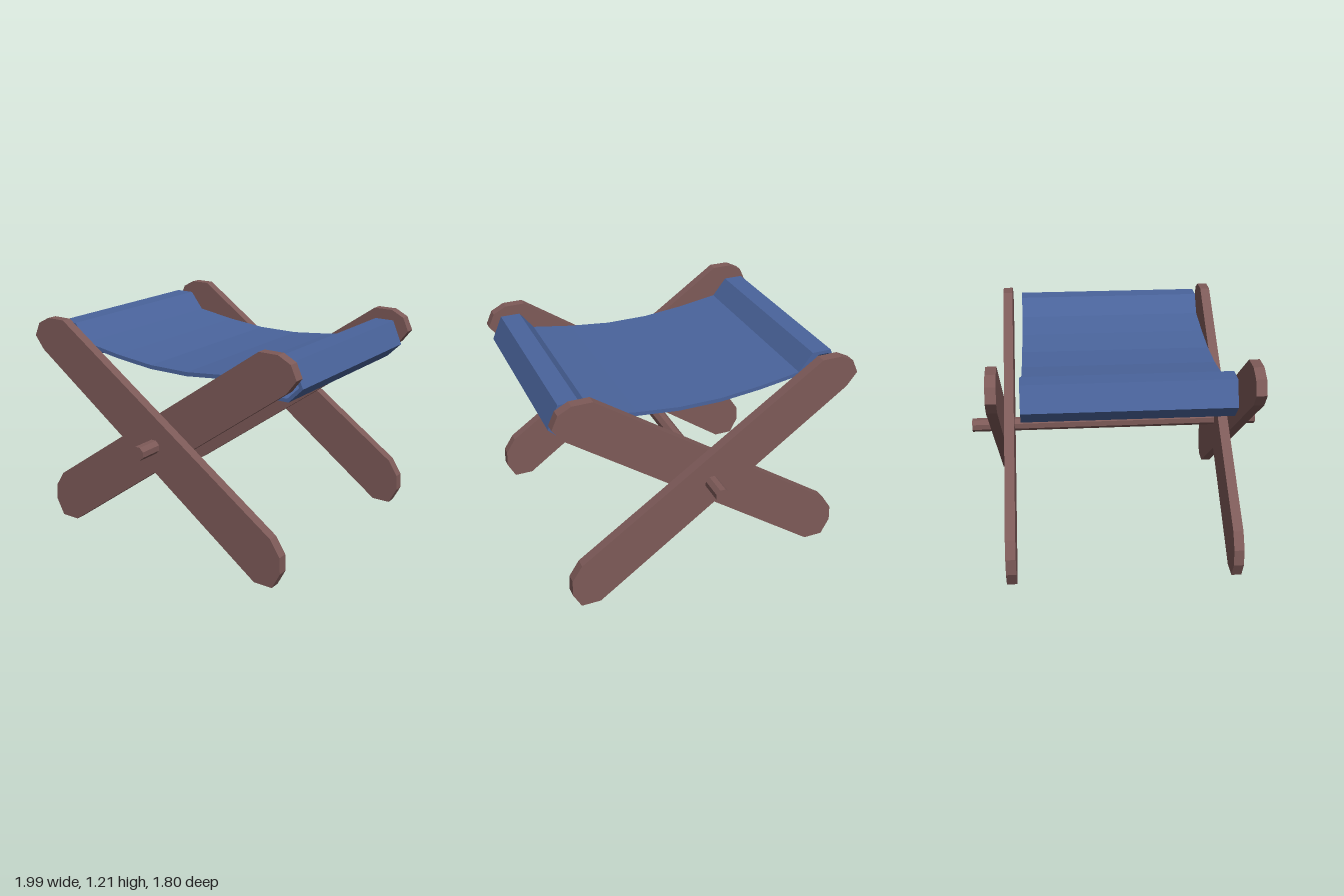
import * as THREE from 'three';

const wood = new THREE.MeshStandardMaterial({ color: 0x7d5a58, flatShading: true });
const cloth = new THREE.MeshStandardMaterial({ color: 0x4a649c, flatShading: true, side: THREE.DoubleSide });

const toVectors = (points, side = 1) => points.map(([x, y]) => new THREE.Vector2(side * x, y));

// Extrude a profile from z0 to z1
function slab(name, shape, z0, z1, material) {
  const geometry = new THREE.ExtrudeGeometry(shape, { depth: z1 - z0, bevelEnabled: false });
  geometry.translate(0, 0, z0);
  const mesh = new THREE.Mesh(geometry, material);
  mesh.name = name;
  return mesh;
}

export function createModel() {
  const stool = new THREE.Group();
  stool.name = 'foldingStool';

  // Crossed legs: planks with faceted ends, the foot cut flat on the floor
  const axleY = 0.605;
  const legProfile = [
    [0.62, 1.205], [0.73, 1.205], [0.802, 1.168], [0.836, 1.093], [0.78, 1.02],
    [-0.642, 0], [-0.75, 0], [-0.797, 0.09], [-0.793, 0.18], [-0.737, 0.267],
  ];
  const thickness = 0.055;
  const innerFace = 0.582;
  for (const end of [1, -1]) {
    const endName = end > 0 ? 'front' : 'back';
    for (const layer of [0, 1]) {
      const a = end * (innerFace + layer * thickness) - 0.006;
      const b = a + end * thickness;
      const shape = new THREE.Shape(toVectors(legProfile, layer ? -1 : 1));
      stool.add(slab(endName + (layer ? 'OuterLeg' : 'InnerLeg'), shape, Math.min(a, b), Math.max(a, b), wood));
    }
  }

  // Axle rod through both pairs of legs
  const rod = new THREE.Mesh(new THREE.CylinderGeometry(0.039, 0.039, 1.65, 8), wood);
  rod.name = 'axleRod';
  rod.geometry.rotateY(Math.PI / 8);
  rod.rotation.x = Math.PI / 2;
  rod.position.set(0, axleY, -0.006);
  stool.add(rod);

  // Cloth loops along both sides of the seat
  const seatBack = -0.531, seatFront = 0.549;
  const loop = [[0.824, 1.03], [0.767, 1.16], [0.658, 1.16], [0.572, 1.05], [0.63, 0.95], [0.743, 0.95]];
  const loopInside = loop.map(([x, y]) => [0.7 + (x - 0.7) * 0.82, 1.053 + (y - 1.053) * 0.82]);
  for (const side of [1, -1]) {
    const shape = new THREE.Shape(toVectors(loop, side));
    shape.holes.push(new THREE.Path(toVectors(loopInside, side)));
    stool.add(slab(side > 0 ? 'leftSeatLoop' : 'rightSeatLoop', shape, seatBack, seatFront, cloth));
  }

  // Sagging seat sheet between the loops
  const sag = [[-0.59, 1.062], [-0.35, 1.025], [-0.12, 1.002], [0.12, 1.002], [0.35, 1.025], [0.59, 1.062]];
  const underside = sag.map(([x, y]) => [x, y - 0.022]).reverse();
  stool.add(slab('seatSheet', new THREE.Shape(toVectors([...sag, ...underside])), seatBack, seatFront, cloth));

  // The stool stands turned on its vertical axis
  stool.rotation.y = 0.3;
  const model = new THREE.Group();
  model.name = 'campStool';
  model.add(stool);
  return model;
}
